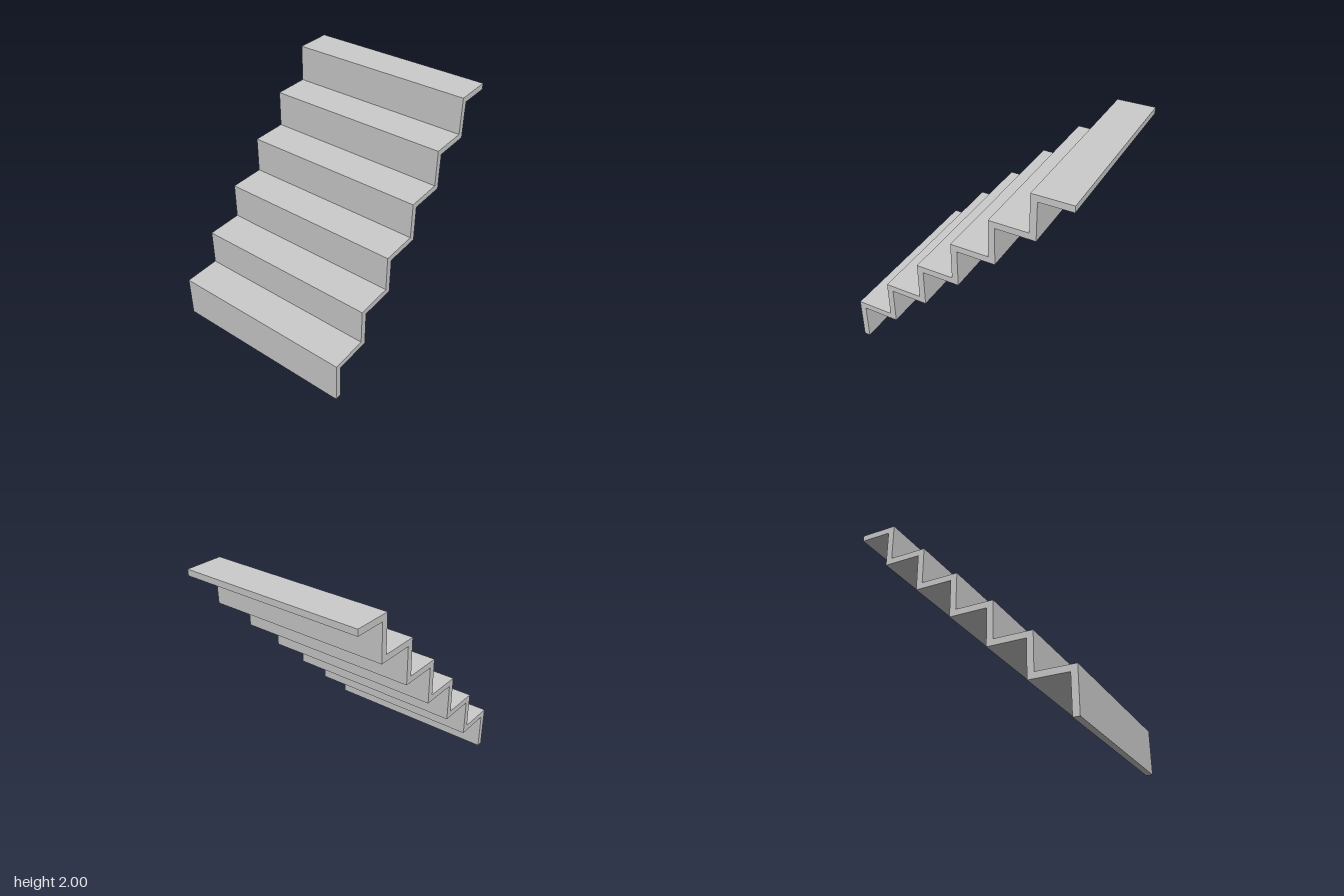
import * as THREE from 'three';

const STEPS = 6;
const THICK = 2 / 37;              // slab thickness
const STEP = (2 - THICK) / STEPS;  // equal rise and run
const WIDTH = 1.62;

export function createModel() {
  const group = new THREE.Group();
  group.name = 'staircase';
  const x0 = -STEP * STEPS / 2;

  // Folded side profile: up along the treads, back down along the undersides
  const points = [new THREE.Vector2(x0, 0)];
  for (let i = 0; i < STEPS; i++) {
    const top = (i + 1) * STEP + THICK;
    points.push(new THREE.Vector2(x0 + i * STEP, top));
    points.push(new THREE.Vector2(x0 + (i + 1) * STEP, top));
  }
  for (let i = STEPS - 1; i >= 0; i--) {
    const under = (i + 1) * STEP;
    const overlap = i === STEPS - 1 ? 0 : THICK; // top tread ends flush
    points.push(new THREE.Vector2(x0 + (i + 1) * STEP + overlap, under));
    points.push(new THREE.Vector2(x0 + i * STEP + THICK, under));
  }
  points.push(new THREE.Vector2(x0 + THICK, 0));

  // Folded treads and risers, extruded across the width
  const geometry = new THREE.ExtrudeGeometry(new THREE.Shape(points), {
    depth: WIDTH,
    bevelEnabled: false,
  });
  geometry.translate(0, 0, -WIDTH / 2);
  const stairs = new THREE.Mesh(
    geometry,
    new THREE.MeshStandardMaterial({ color: 0xcccccc, flatShading: true })
  );
  stairs.name = 'treadsAndRisers';
  group.add(stairs);
  return group;
}
